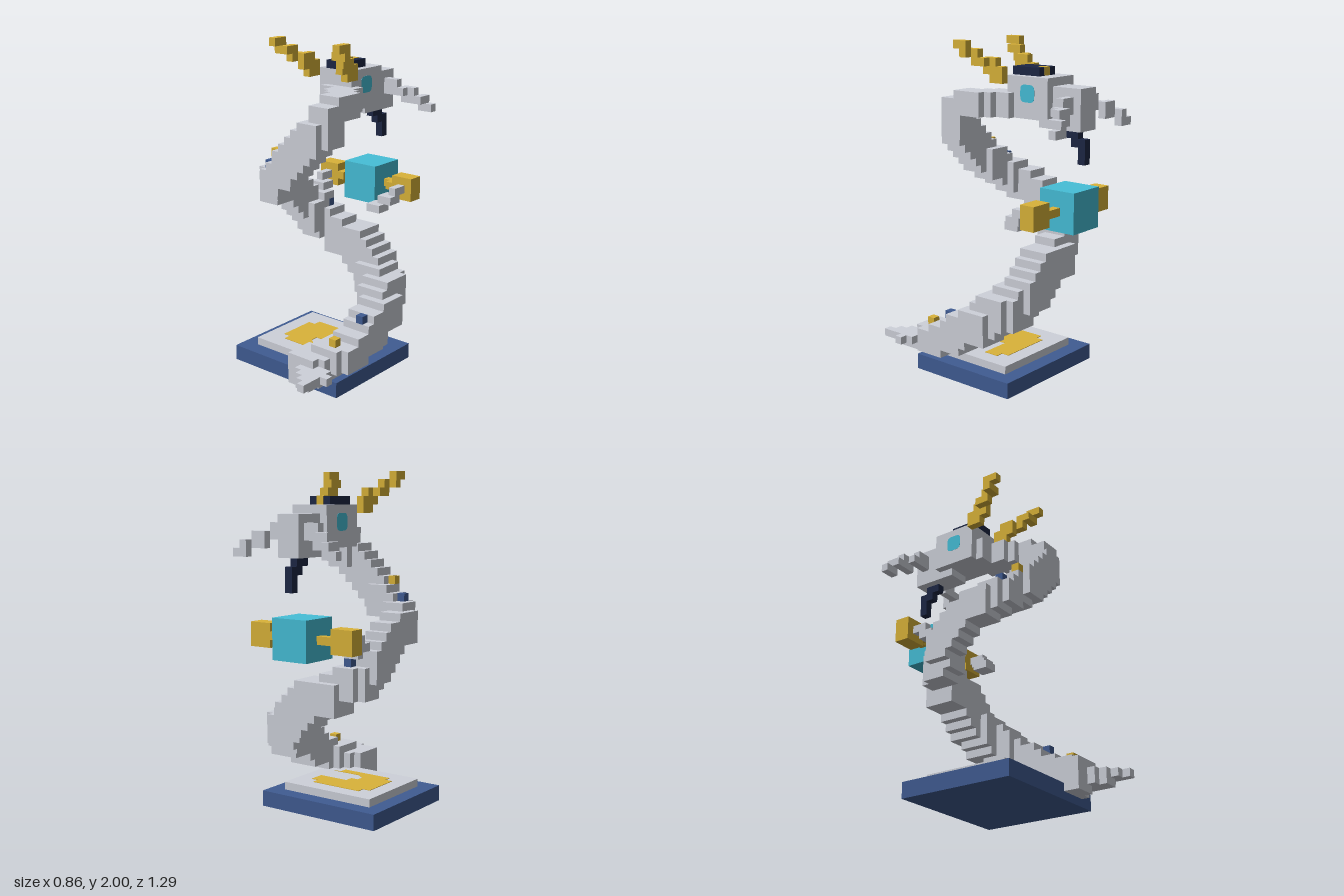
import * as THREE from 'three';

const U = 1 / 21; // one block

const mat = (name, color) => {
  const m = new THREE.MeshStandardMaterial({ color });
  m.name = name;
  return m;
};

export function createModel() {
  const model = new THREE.Group();
  model.name = 'coiledDragon';
  const grey = mat('paleGrey', 0xced1da);
  const gold = mat('gold', 0xdab339);
  const navy = mat('darkNavy', 0x1d2745);
  const blue = mat('blue', 0x405c93);
  const teal = mat('teal', 0x46bfd8);

  // box from its corners, in block units: x0, x1, y0, y1, z0, z1
  const box = (name, m, [x0, x1, y0, y1, z0, z1], parent = model) => {
    const mesh = new THREE.Mesh(new THREE.BoxGeometry((x1 - x0) * U, (y1 - y0) * U, (z1 - z0) * U), m);
    mesh.position.set((x0 + x1) * U / 2, (y0 + y1) * U / 2, (z0 + z1) * U / 2);
    mesh.name = name;
    parent.add(mesh);
  };
  const group = (name) => {
    const g = new THREE.Group();
    g.name = name;
    model.add(g);
    return g;
  };
  // the same boxes on both sides of the head's middle, x = -0.5
  const pair = (name, m, boxes) => {
    const a = group(name + 'Right'), b = group(name + 'Left');
    for (const [x0, x1, ...r] of boxes) {
      box(name, m, [x0, x1, ...r], a);
      box(name, m, [-1 - x1, -1 - x0, ...r], b);
    }
  };

  // base and inlay
  box('base', blue, [-9, 8, 0, 2, -7.5, 7.5]);
  box('basePlate', grey, [-7, 6, 2, 3, -5.5, 5.5]);
  const outline = [[-4, -3.5], [3, -3.5], [3, -2.5], [4, -2.5], [4, -0.5], [0, -0.5], [0, 0.6], [-1, 0.6],
    [-1, 1.6], [0, 2.4], [4, 2.4], [3, 2.5], [3, 3.5], [-4, 3.5], [-4, 2.5], [-5, 2.5], [-5, -2.5], [-4, -2.5]];
  const inlay = new THREE.Mesh(new THREE.ExtrudeGeometry(
    new THREE.Shape(outline.map(([x, z]) => new THREE.Vector2(x * U, -z * U))),
    { depth: 0.003, bevelEnabled: false }), gold);
  inlay.rotation.x = -Math.PI / 2;
  inlay.position.y = 3 * U;
  inlay.name = 'baseInlay';
  model.add(inlay);

  // body: blocks snapped to the grid along a rising coil
  const path = new THREE.CatmullRomCurve3([
    [4, 3.3, 7], [6, 4.3, 5.5], [7, 5, 3.5], [7, 6.7, 0.5], [6.4, 8.7, -3], [4.4, 10.9, -5.5],
    [2, 13.3, -6.5], [-1, 15.2, -6.5], [-4, 16.8, -6], [-4.7, 17.1, -5.5], [-5.6, 17.5, -4.4],
    [-6.5, 19, -3.7], [-6.5, 20.8, -2.2], [-6.5, 22.2, 0], [-5.8, 23.5, 2.5], [-4.2, 24.8, 3.8],
    [-1.7, 26.4, 4.5], [0.4, 28.8, 5], [2.8, 31, 4.9], [3.4, 33, 4], [3.4, 34.4, 1.5],
    [2.3, 34.5, -1], [0, 34.5, -3.5],
  ].map((p) => new THREE.Vector3(...p)));
  const body = group('body');
  const steps = 44;
  for (let i = 0; i <= steps; i++) {
    const p = path.getPointAt(i / steps);
    const w = p.y < 16 ? 4 : 3;
    const slim = p.y > 33.5 || p.y < 7.5 || (p.y > 23.9 && p.y < 25.4);
    const h = slim ? 3 : 4;
    const x = Math.round(p.x - w / 2), y = Math.round(p.y - h / 2);
    const z = Math.round(p.z - w / 2 - 0.5) + 0.5;
    box('bodySegment', grey, [x, x + w, y, y + h, z, z + w], body);
  }

  // tail
  const tail = group('tail');
  [[2, 6, 1, 4, 5.5, 8.5], [2, 5, 1, 3, 7.5, 9.5], [4, 7, 2, 4, 7.5, 10.5], [5, 7, 2, 4, 9.5, 11.5],
    [6, 8, 3, 4, 9.5, 12.5], [7, 8, 3, 4, 11.5, 13.5], [8, 9, 3, 4, 9.5, 10.5], [7, 8, 3, 4, 8.5, 10.5]]
    .forEach((b) => box('tailBlock', grey, b, tail));

  // studs along the back
  [[gold, 6, 6, 5.5], [blue, 7, 8, 1.5], [blue, -5, 19, -6.5], [blue, -6, 26, 3.5], [gold, -4, 28, 4.5]]
    .forEach(([m, x, y, z]) => box('backStud', m, [x, x + 1, y, y + 1, z, z + 1]));

  // head
  box('head', grey, [-3, 2, 33, 38, -8.5, -2.5]);
  box('snout', grey, [-2, 1, 32, 37, -12.5, -6.5]);
  box('crown', navy, [-2, 1, 38, 39, -6.5, -2.5]);
  box('crownGem', gold, [-1, 0, 38.02, 39.03, -6.53, -5.5]);

  // rounded square eyes
  const round = (v) => Math.sign(v) * Math.sqrt(Math.abs(v)) * 1.05 * U;
  const eyePoints = Array.from({ length: 24 }, (_, i) => {
    const a = i / 12 * Math.PI;
    return new THREE.Vector2(round(Math.cos(a)), round(Math.sin(a)));
  });
  const eyeGeo = new THREE.ExtrudeGeometry(new THREE.Shape(eyePoints), { depth: 0.0015, bevelEnabled: false });
  for (const side of [1, -1]) {
    const eye = new THREE.Mesh(eyeGeo, teal);
    eye.rotation.y = side * Math.PI / 2;
    eye.position.set((side > 0 ? 2 : -3) * U, 36 * U, -5.5 * U);
    eye.name = side > 0 ? 'eyeLeft' : 'eyeRight';
    model.add(eye);
  }

  // beard
  const beard = group('beard');
  [[-1, 0, 31, 32, -11.5, -9.5], [-1, 0, 30, 31, -12.5, -10.5], [-1, 0, 28, 30, -12.5, -11.5]]
    .forEach((b) => box('beardBlock', navy, b, beard));

  pair('whisker', grey, [[-4, -2, 34, 36, -11.5, -10.5], [-5, -4, 34, 35, -12.5, -10.5],
    [-6, -4, 33, 35, -12.5, -11.5], [-7, -6, 32, 34, -13.5, -12.5], [-7, -5, 33, 34, -12.5, -11.5],
    [-8, -6, 32, 33, -13.5, -12.5]]);

  pair('antler', gold, [[-4, -3, 37, 39, -2.5, -0.5], [-4, -3, 38, 40, -1.5, 0.5],
    [-5, -4, 39, 40, -0.5, 1.5], [-5, -4, 40, 41, 0.5, 2.5], [-6, -5, 40, 41, 1.5, 2.5], [-6, -5, 41, 42, 1.5, 3.5]]);

  // held cube, hands and forearms
  box('heldCube', teal, [-3, 2, 20, 25, -12.5, -7.5]);
  pair('hand', gold, [[-8, -5, 21, 24, -10.5, -8.5], [-5, -3, 22, 23, -10.5, -9.5], [-5, -4, 22, 23, -9.5, -8.5]]);
  pair('forearm', grey, [[-6, -4, 20, 21, -6.5, -4.5], [-7, -5, 21, 22, -7.5, -5.5], [-7, -6, 22, 23, -8.5, -6.5]]);

  return model;
}
